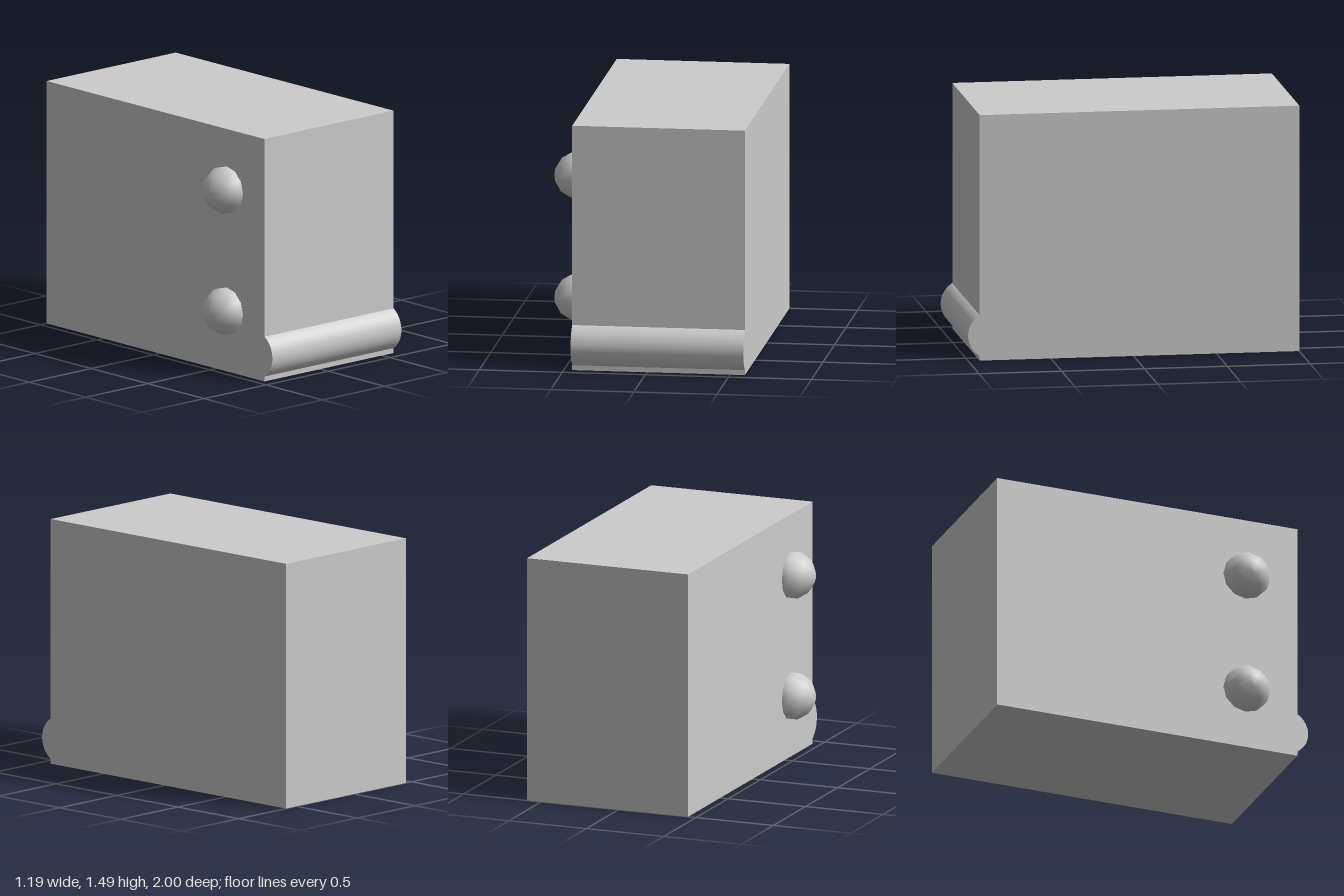
import * as THREE from 'three';
import { toCreasedNormals } from 'three/addons/utils/BufferGeometryUtils.js';

export function createModel() {
  const model = new THREE.Group();
  const grey = new THREE.MeshStandardMaterial({ color: 0xcccccc });
  grey.name = 'light grey';

  // Side profile (z, y): a block with a rounded lip low on its front, extruded across x
  const profile = new THREE.Shape();
  profile.moveTo(-1, 0);
  profile.lineTo(0.93, 0);
  profile.lineTo(0.93, 0.03);
  profile.absarc(0.858, 0.1525, 0.142, -1.039, 1.039, false);
  profile.lineTo(0.93, 1.49);
  profile.lineTo(-1, 1.49);
  profile.closePath();
  const bodyGeometry = new THREE.ExtrudeGeometry(profile, {
    depth: 1.04, bevelEnabled: false, curveSegments: 32,
  });
  bodyGeometry.rotateY(-Math.PI / 2).translate(0.59, 0, 0);
  const body = new THREE.Mesh(toCreasedNormals(bodyGeometry, 0.5), grey);
  body.name = 'bodyWithFrontLip';
  model.add(body);

  // Domed knobs with blunt tips on the right side
  const dome = [[0.1425, 0], [0.1425, 0.042], [0.104, 0.108], [0.038, 0.147], [0, 0.147]]
    .map(([r, h]) => new THREE.Vector2(r, h));
  const knobGeometry = new THREE.LatheGeometry(dome, 12).rotateZ(Math.PI / 2);
  [['lowerKnob', 0.374], ['upperKnob', 1.118]].forEach(([name, y]) => {
    const knob = new THREE.Mesh(knobGeometry, grey);
    knob.name = name;
    knob.position.set(-0.45, y, 0.597);
    model.add(knob);
  });

  return model;
}
